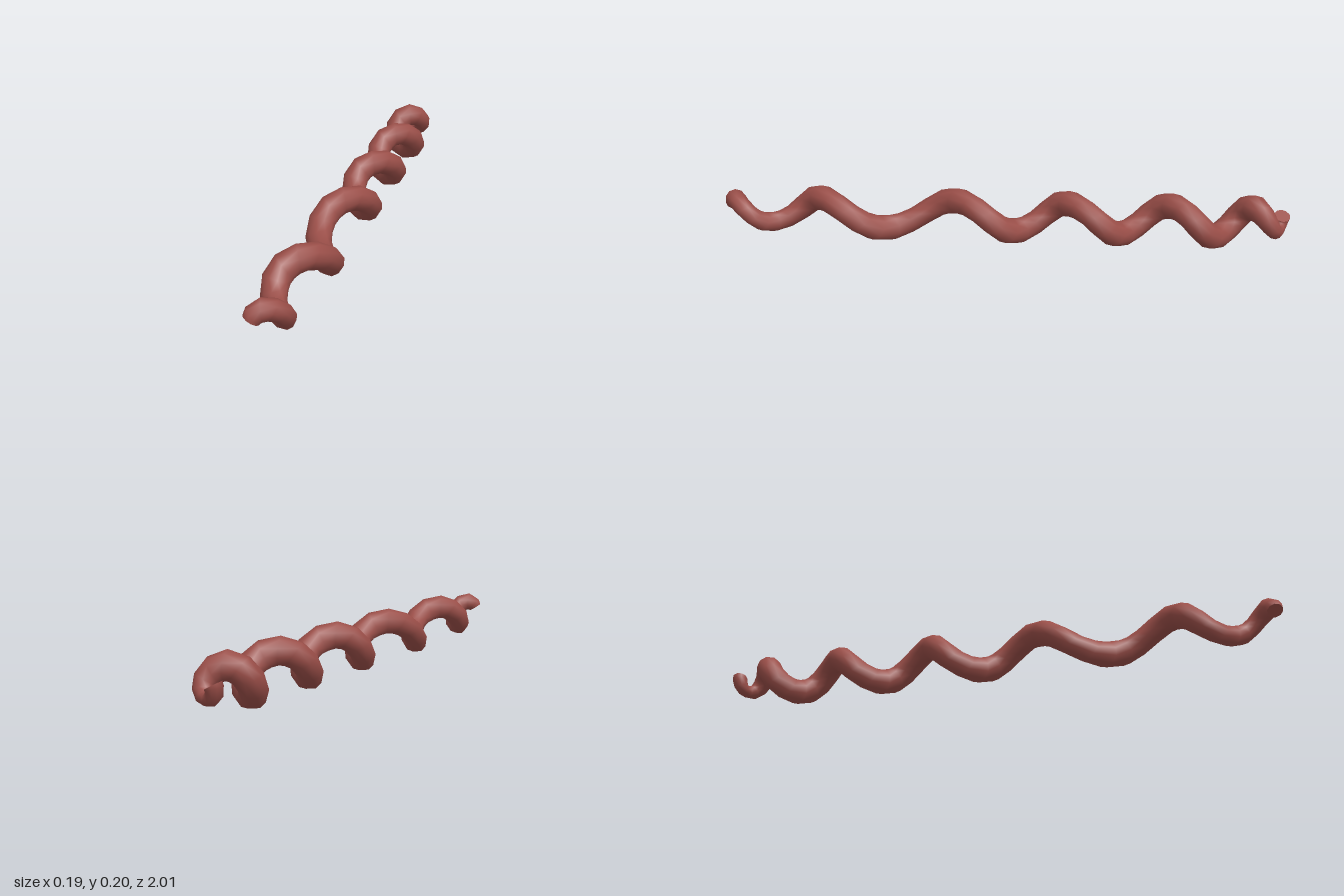
import * as THREE from 'three';

// Height along the axis at every quarter turn, from the front end to the back end.
const AXIS = [0.985, 0.96, 0.9, 0.825, 0.725, 0.64, 0.52, 0.4, 0.265, 0.15, 0.035, -0.055, -0.16,
  -0.24, -0.345, -0.425, -0.52, -0.6, -0.685, -0.755, -0.83, -0.88, -0.93, -0.962, -0.977, -0.985];
const axisCurve = new THREE.SplineCurve(AXIS.map((z, i) => new THREE.Vector2(i - 1, z)));
const axisZ = q => axisCurve.getPoint((q + 1) / (AXIS.length - 1)).y;

// Outer reach of the coil, [quarter turn, radius]: both ends taper.
const REACH = [[-0.66, 0.06], [-0.2, 0.078], [1, 0.072], [2, 0.078], [3, 0.096], [4, 0.099],
  [20, 0.099], [21, 0.07], [22, 0.05], [23.3, 0.062]];
function reach(q) {
  for (let i = 1; i < REACH.length; i++) {
    const [a, ra] = REACH[i - 1], [b, rb] = REACH[i];
    if (q <= b) return THREE.MathUtils.mapLinear(Math.max(q, a), a, b, ra, rb);
  }
  return REACH[REACH.length - 1][1];
}

const INNER = 0.006, SIDES = 10;

// One cross-section of the coil, tilted between the radial plane and the path normal.
function ring(q) {
  const phi = q * Math.PI / 2, outer = reach(q);
  const mid = (outer + INNER) / 2, half = (outer - INNER) / 2;
  const u = new THREE.Vector3(Math.sin(phi), Math.cos(phi), 0);
  const around = new THREE.Vector3(Math.cos(phi), -Math.sin(phi), 0);
  const slope = (axisZ(Math.min(q + 0.3, 24)) - axisZ(Math.max(q - 0.3, -1))) / 0.6;
  const path = around.clone().multiplyScalar(mid * Math.PI / 2);
  path.z = slope;
  const v = u.clone().cross(path).normalize();
  if (v.z < 0) v.negate();
  v.z += 1;
  v.normalize();
  const centre = u.clone().multiplyScalar(mid).add(new THREE.Vector3(0, 0.1, axisZ(q)));
  const points = [];
  for (let j = 0; j < SIDES; j++) {
    const a = j / SIDES * Math.PI * 2;
    points.push(centre.clone().addScaledVector(u, half * Math.cos(a))
      .addScaledVector(v, half * Math.sin(a)));
  }
  return { centre, points };
}

function makeGeometry(points, index) {
  const g = new THREE.BufferGeometry().setFromPoints(points);
  g.setIndex(index);
  g.computeVertexNormals();
  return g;
}

function endCap(r, flip) {
  const index = [];
  for (let j = 0; j < SIDES; j++) {
    const k = (j + 1) % SIDES;
    index.push(SIDES, flip ? k : j, flip ? j : k);
  }
  return makeGeometry([...r.points, r.centre], index);
}

export function createModel() {
  const group = new THREE.Group();
  group.name = 'spiralCoil';
  const clay = new THREE.MeshStandardMaterial({ color: 0x9a4e48 });
  clay.name = 'reddishBrown';

  // Ten sections per turn, with extra ones at the tips
  const stations = [-0.66];
  for (let q = -5 / 90 - 0.4; q < 23.2; q += 0.4) stations.push(q);
  stations.push(23.3);
  const rings = stations.map(ring);

  // Coil surface
  const index = [];
  for (let i = 0; i < rings.length - 1; i++) {
    for (let j = 0; j < SIDES; j++) {
      const k = (j + 1) % SIDES;
      const a = i * SIDES + j, b = i * SIDES + k, c = a + SIDES, d = b + SIDES;
      index.push(a, b, c, b, d, c);
    }
  }
  const add = (geometry, name) => {
    const mesh = new THREE.Mesh(geometry, clay);
    mesh.name = name;
    group.add(mesh);
  };
  add(makeGeometry(rings.flatMap(r => r.points), index), 'coil');

  // Flat ends
  add(endCap(rings[0], true), 'frontTip');
  add(endCap(rings[rings.length - 1], false), 'backTip');
  return group;
}
